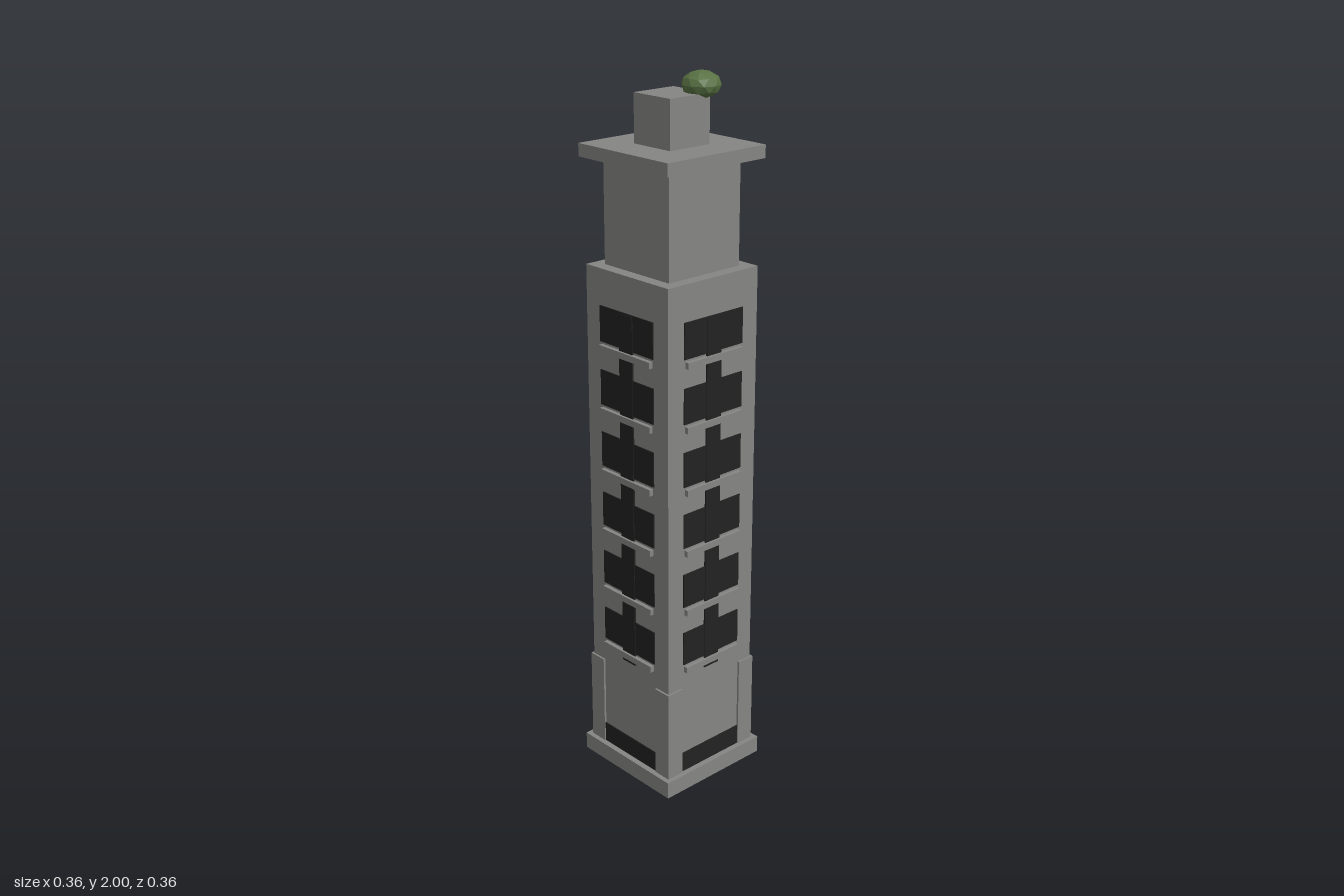
import * as THREE from 'three';

const material = (name, color) => {
  const m = new THREE.MeshStandardMaterial({ color });
  m.name = name;
  return m;
};

export function createModel() {
  const stone = material('grey stone', 0x858583);
  const dark = material('dark glass', 0x222222);
  const green = material('leaf green', 0x587143);

  const tower = new THREE.Group();
  tower.name = 'tower';

  // Box standing on height y0 and reaching y1
  const block = (parent, name, mat, w, d, y0, y1, x = 0, z = 0) => {
    const mesh = new THREE.Mesh(new THREE.BoxGeometry(w, y1 - y0, d), mat);
    mesh.position.set(x, (y0 + y1) / 2, z);
    mesh.name = name;
    parent.add(mesh);
    return mesh;
  };

  // Stacked square masses
  block(tower, 'plinth', stone, 0.36, 0.36, 0, 0.05);
  block(tower, 'shaft', stone, 0.32, 0.32, 0.05, 1.495);
  block(tower, 'upperShaft', stone, 0.25, 0.25, 1.495, 1.78);
  block(tower, 'roofSlab', stone, 0.34, 0.34, 1.78, 1.815);
  block(tower, 'roofHut', stone, 0.137, 0.137, 1.815, 1.945);

  // Corner piers at the foot
  for (const sx of [-1, 1]) {
    for (const sz of [-1, 1]) {
      block(tower, 'cornerPier', stone, 0.055, 0.055, 0.05, 0.323, sx * 0.1385, sz * 0.1385);
    }
  }

  // Four identical faces with windows, sills and a foot opening
  for (let side = 0; side < 4; side++) {
    const face = new THREE.Group();
    face.name = 'windowFace';
    face.rotation.y = side * Math.PI / 2;
    block(face, 'footOpening', dark, 0.223, 0.004, 0.05, 0.11, 0, 0.161);
    block(face, 'windowStrip', dark, 0.052, 0.006, 0.36, 1.39, 0, 0.162);
    for (let i = 0; i < 6; i++) {
      const y = 0.397 + i * 0.1795;
      block(face, 'window', dark, 0.21, 0.004, y, y + 0.1, 0, 0.161);
      block(face, 'sill', stone, 0.2, 0.02, y - 0.025, y - 0.007, 0, 0.162);
    }
    tower.add(face);
  }

  // Faceted, flattened bush with a corner pointing straight up
  const bushShape = new THREE.IcosahedronGeometry(0.0525, 1);
  bushShape.rotateZ(-Math.atan(2 / (1 + Math.sqrt(5))));
  bushShape.scale(1, 0.69, 1);
  bushShape.computeVertexNormals();
  const bush = new THREE.Mesh(bushShape, green);
  bush.position.set(0.063, 1.964, 0.042);
  bush.name = 'bush';
  tower.add(bush);

  return tower;
}
